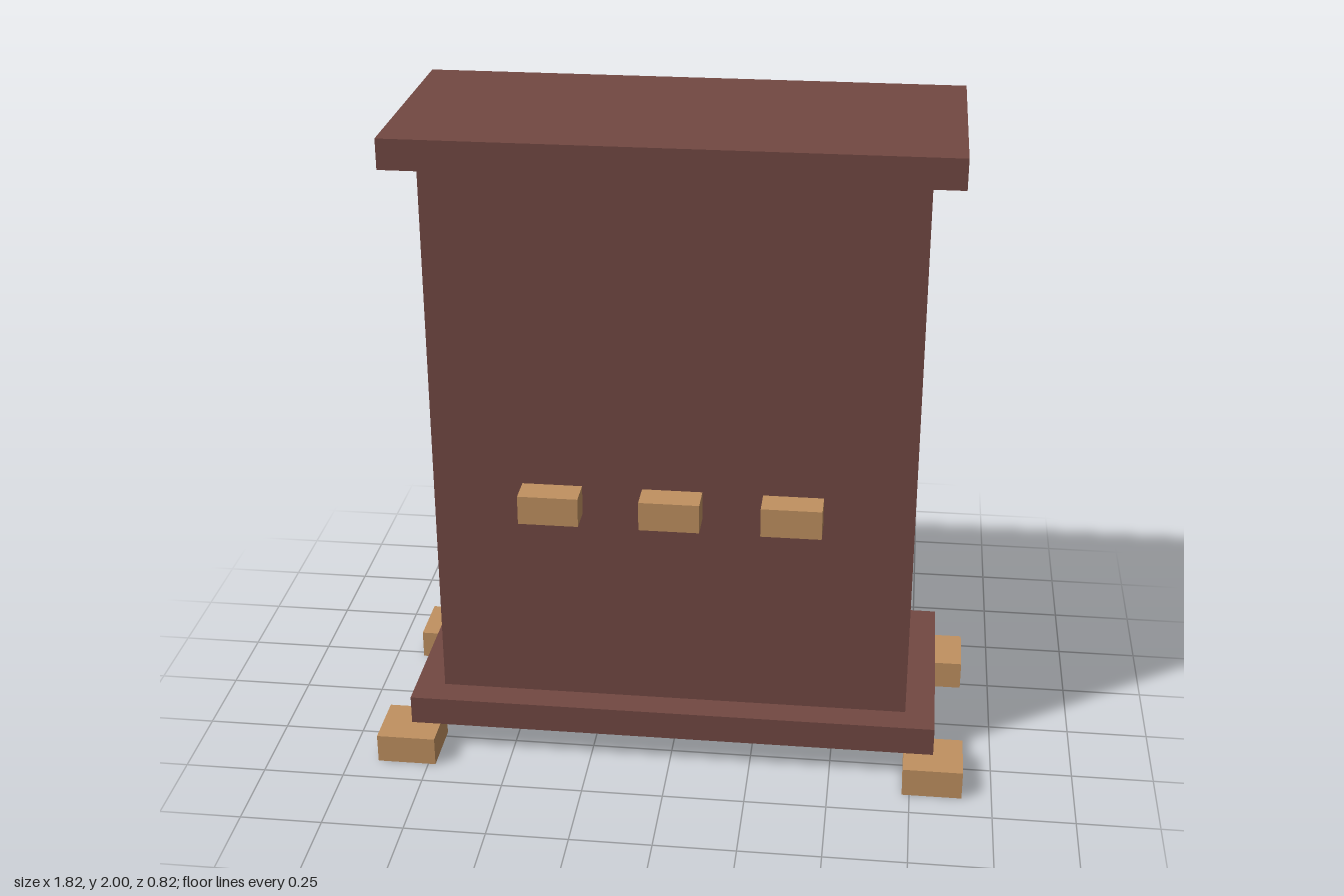
import * as THREE from 'three';

// Everything sits on a grid of 22 units over the full height.
const U = 2 / 22;

export function createModel() {
  const model = new THREE.Group();
  model.name = 'cabinet';

  const darkWood = new THREE.MeshStandardMaterial({ color: 0x724842 });
  darkWood.name = 'dark wood';
  const paleWood = new THREE.MeshStandardMaterial({ color: 0xc09160 });
  paleWood.name = 'pale wood';

  // Box given by its minimum and maximum corners in grid units
  function addBox(name, material, min, max) {
    const size = max.map((v, i) => (v - min[i]) * U);
    const mesh = new THREE.Mesh(new THREE.BoxGeometry(...size), material);
    mesh.position.set(...max.map((v, i) => ((v + min[i]) / 2) * U));
    mesh.name = name;
    model.add(mesh);
  }

  // Carcass with overhanging base and top, all flush at the back
  addBox('basePlinth', darkWood, [-9, 1, -4.5], [9, 2, 3.5]);
  addBox('cabinetBody', darkWood, [-8, 2, -4.5], [8, 21, 2.5]);
  addBox('topSlab', darkWood, [-9, 21, -4.5], [9, 22, 3.5]);

  // Row of handles across the front
  for (const [name, x] of [['rightHandle', -4], ['middleHandle', 0], ['leftHandle', 4]]) {
    addBox(name, paleWood, [x - 1, 9, 2.5], [x + 1, 10, 3.5]);
  }

  // Corner feet
  for (const [side, x] of [['Right', -9], ['Left', 9]]) {
    for (const [end, z] of [['front', 3.5], ['back', -3.5]]) {
      addBox(`${end}${side}Foot`, paleWood, [x - 1, 0, z - 1], [x + 1, 1, z + 1]);
    }
  }

  return model;
}
